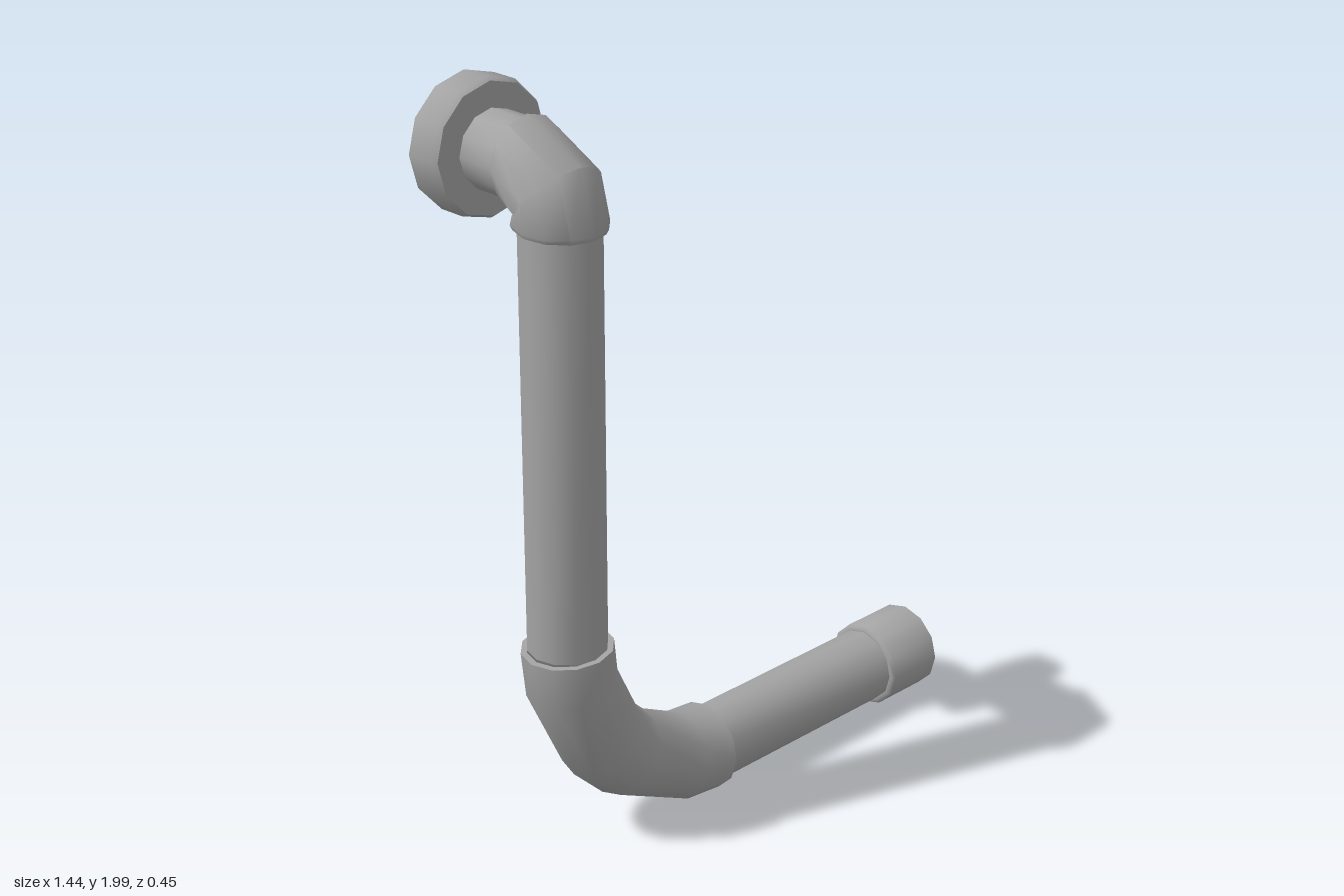
import * as THREE from 'three';
import { toCreasedNormals } from 'three/addons/utils/BufferGeometryUtils.js';

const SIDES = 12;
const grey = new THREE.MeshStandardMaterial({ color: 0xa3a3a3, side: THREE.DoubleSide });
grey.name = 'pipe grey';

// Skin a row of rings, each [centre, direction of travel, radius]; side is square to the bend plane
function pipe(name, rings, side) {
  const s = new THREE.Vector3(...side);
  const pos = [], index = [];
  rings.forEach(([c, d, r], k) => {
    const u = new THREE.Vector3(...d).normalize().cross(s);
    for (let i = 0; i < SIDES; i++) {
      const a = (i / SIDES) * Math.PI * 2;
      const p = new THREE.Vector3(...c)
        .addScaledVector(u, Math.cos(a) * r)
        .addScaledVector(s, -Math.sin(a) * r);
      pos.push(p.x, p.y, p.z);
      if (k === 0) continue;
      const j = (i + 1) % SIDES, lo = (k - 1) * SIDES, hi = k * SIDES;
      index.push(lo + i, lo + j, hi + j, lo + i, hi + j, hi + i);
    }
  });
  const geo = new THREE.BufferGeometry();
  geo.setAttribute('position', new THREE.Float32BufferAttribute(pos, 3));
  geo.setIndex(index);
  const mesh = new THREE.Mesh(toCreasedNormals(geo, 0.9), grey);
  mesh.name = name;
  return mesh;
}

export function createModel() {
  const group = new THREE.Group();
  group.name = 'bentPipe';
  const Z = 0.107, X = -0.55, Y = 1.828; // pipe plane, riser position, outlet height
  const R = 0.102, S = 0.118;            // pipe and sleeve radii
  const sideZ = [0, 0, 1], sideX = [1, 0, 0];
  const right = [1, 0, 0], down = [0, -1, 0], up = [0, 1, 0], back = [0, 0, -1];

  // Open sleeve at the free end, stepping down to the horizontal pipe
  group.add(pipe('endSleeve', [
    [[0.54, 0.127, Z], right, R],
    [[0.54, 0.127, Z], right, S - 0.007],
    [[0.547, 0.127, Z], right, S],
    [[0.715, 0.128, Z], right, S],
  ], sideZ));

  // Straight runs
  group.add(pipe('horizontalPipe', [
    [[-0.08, 0.123, Z], right, R],
    [[0.54, 0.127, Z], right, R],
  ], sideZ));
  group.add(pipe('verticalPipe', [
    [[X, 1.7, Z], down, R],
    [[-0.556, 0.602, Z], down, R],
  ], sideZ));

  // Wide lower bend with a stepped lip at both ends
  const bend = [
    [-0.557, 0.602, 0.015, -0.235],
    [-0.545, 0.495, 0.05, -0.23],
    [-0.452, 0.302, 0.145, -0.185],
    [-0.375, 0.228, 0.185, -0.15],
    [-0.182, 0.135, 0.23, -0.045],
    [-0.08, 0.125, 0.23, -0.012],
  ].map(([x, y, dx, dy]) => [[x, y, Z], [dx, dy, 0], S]);
  const lip = ([c, d]) => [c, d, R];
  group.add(pipe('lowerBend', [lip(bend[0]), ...bend, lip(bend[5])], sideZ));

  // Tight upper elbow turning backwards
  group.add(pipe('upperElbow', [
    [[X, 1.698, Z], up, R],
    [[X, 1.692, Z], [0, 1, 0.06], 0.112],
    [[X, 1.704, Z], [0, 1, 0.06], S],
    [[X, 1.772, 0.1], [0, 0.7, -0.7], 0.114],
    [[X, Y, 0], back, 0.113],
    [[X, Y, -0.01], back, 0.107],
    [[X, Y, -0.01], back, R - 0.002],
  ], sideX));

  // Short neck, then a flared flange left open at the back
  group.add(pipe('neck', [
    [[X, Y, -0.01], back, R - 0.002],
    [[X, Y, -0.128], back, R - 0.002],
  ], sideX));
  group.add(pipe('flange', [
    [[X, Y, -0.128], back, R - 0.002],
    [[X, Y, -0.128], back, 0.165],
    [[X, Y, -0.142], back, 0.173],
    [[X, Y, -0.218], back, 0.173],
    [[X, Y, -0.226], back, 0.171],
  ], sideX));

  return group;
}
